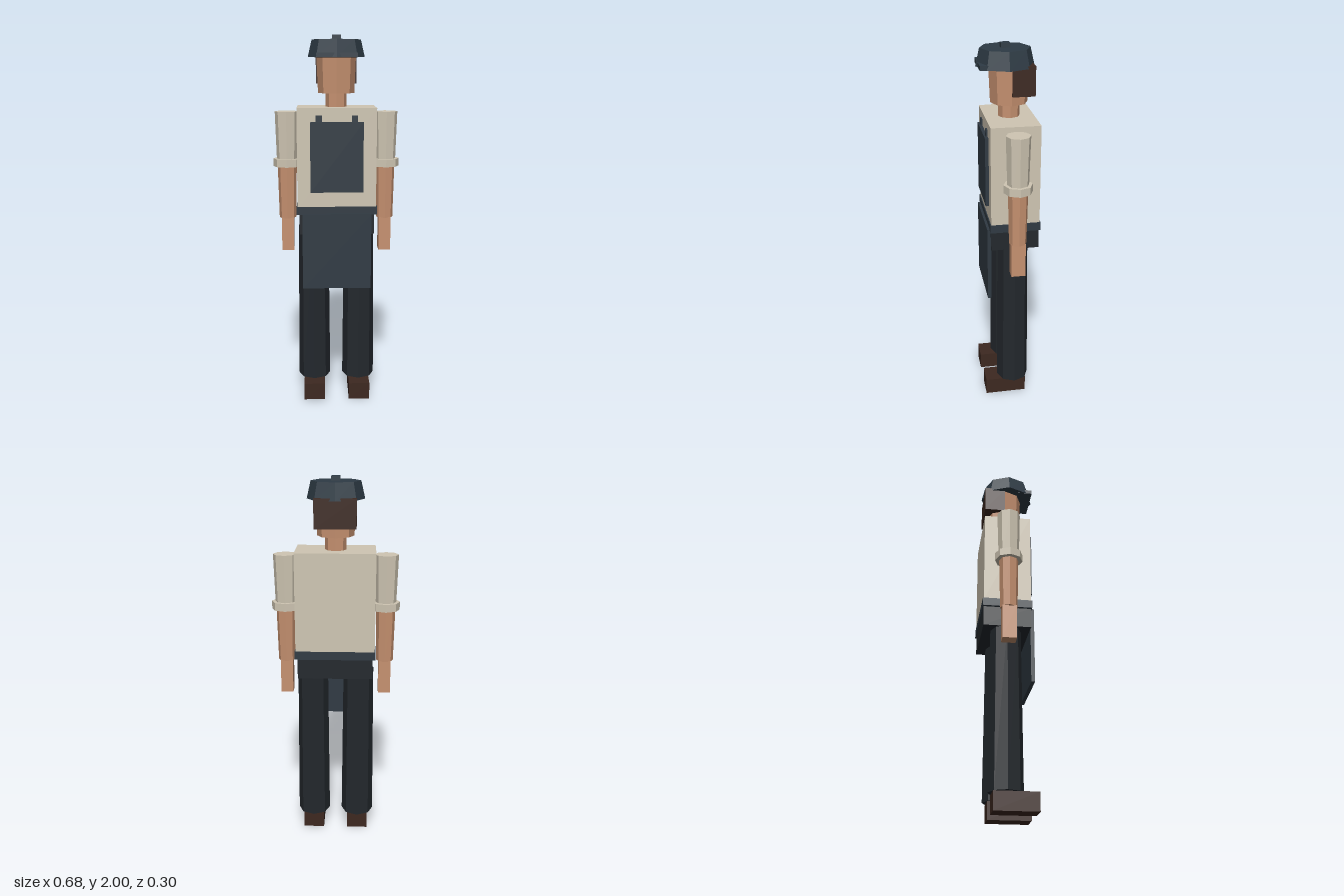
import * as THREE from 'three';

const material = (color) => new THREE.MeshStandardMaterial({ color, flatShading: true });

export function createModel() {
  const model = new THREE.Group();
  const shirt = material(0xcfc6b3), skin = material(0xc69170), navy = material(0x303a43);
  const trousers = material(0x23282d), brown = material(0x3d2820), capCloth = material(0x2e3b45);

  const add = (name, geometry, mat, x, y, z) => {
    const mesh = new THREE.Mesh(geometry, mat);
    mesh.name = name;
    mesh.position.set(x, y, z);
    model.add(mesh);
  };
  // Box given by its centre x, width, and its y and z ranges
  const box = (name, mat, x, width, y0, y1, z0, z1) =>
    add(name, new THREE.BoxGeometry(width, y1 - y0, z1 - z0), mat, x, (y0 + y1) / 2, (z0 + z1) / 2);
  // Eight-sided tapered column
  const column = (name, mat, x, z, rTop, rBottom, y0, y1) =>
    add(name, new THREE.CylinderGeometry(rTop, rBottom, y1 - y0, 8), mat, x, (y0 + y1) / 2, z);

  // Body
  box('torso', shirt, 0, 0.42, 1.1, 1.63, -0.148, 0.107);
  box('belt', navy, 0, 0.43, 1.063, 1.107, -0.153, 0.112);
  box('hips', trousers, 0, 0.4, 0.955, 1.065, -0.147, 0.107);

  // Apron
  box('apronBib', navy, 0, 0.28, 1.187, 1.557, 0.105, 0.125);
  box('apronSkirt', navy, 0, 0.37, 0.655, 1.07, 0.105, 0.125);

  // Paired parts
  for (const [side, s] of [['left', 1], ['right', -1]]) {
    box(side + 'ApronStrap', navy, s * 0.094, 0.032, 1.5, 1.592, 0.1, 0.116);
    box(side + 'Shoe', brown, s * 0.125, 0.116, 0, 0.095, -0.088, 0.14);
    column(side + 'Leg', trousers, s * 0.125, -0.02, 0.082, 0.09, 0.095, 0.98);
    column(side + 'Sleeve', shirt, s * 0.267, -0.022, 0.063, 0.055, 1.32, 1.605);
    column(side + 'Cuff', shirt, s * 0.267, -0.022, 0.075, 0.075, 1.31, 1.352);
    column(side + 'Forearm', skin, s * 0.267, -0.022, 0.052, 0.046, 1.025, 1.315);
    box(side + 'Hand', skin, s * 0.267, 0.066, 0.843, 1.028, -0.059, 0.016);
  }

  // Head
  column('neck', skin, 0, -0.02, 0.056, 0.056, 1.62, 1.71);
  column('head', skin, 0, -0.02, 0.105, 0.097, 1.702, 1.9);
  box('hair', brown, 0, 0.216, 1.75, 1.9, -0.137, -0.02);

  // Cap
  column('cap', capCloth, 0, 0, 0.129, 0.15, 1.887, 1.977);
  box('capVisor', capCloth, 0, 0.21, 1.886, 1.91, 0.03, 0.14);
  box('capButton', capCloth, 0, 0.046, 1.97, 2.0, -0.023, 0.023);

  return model;
}
